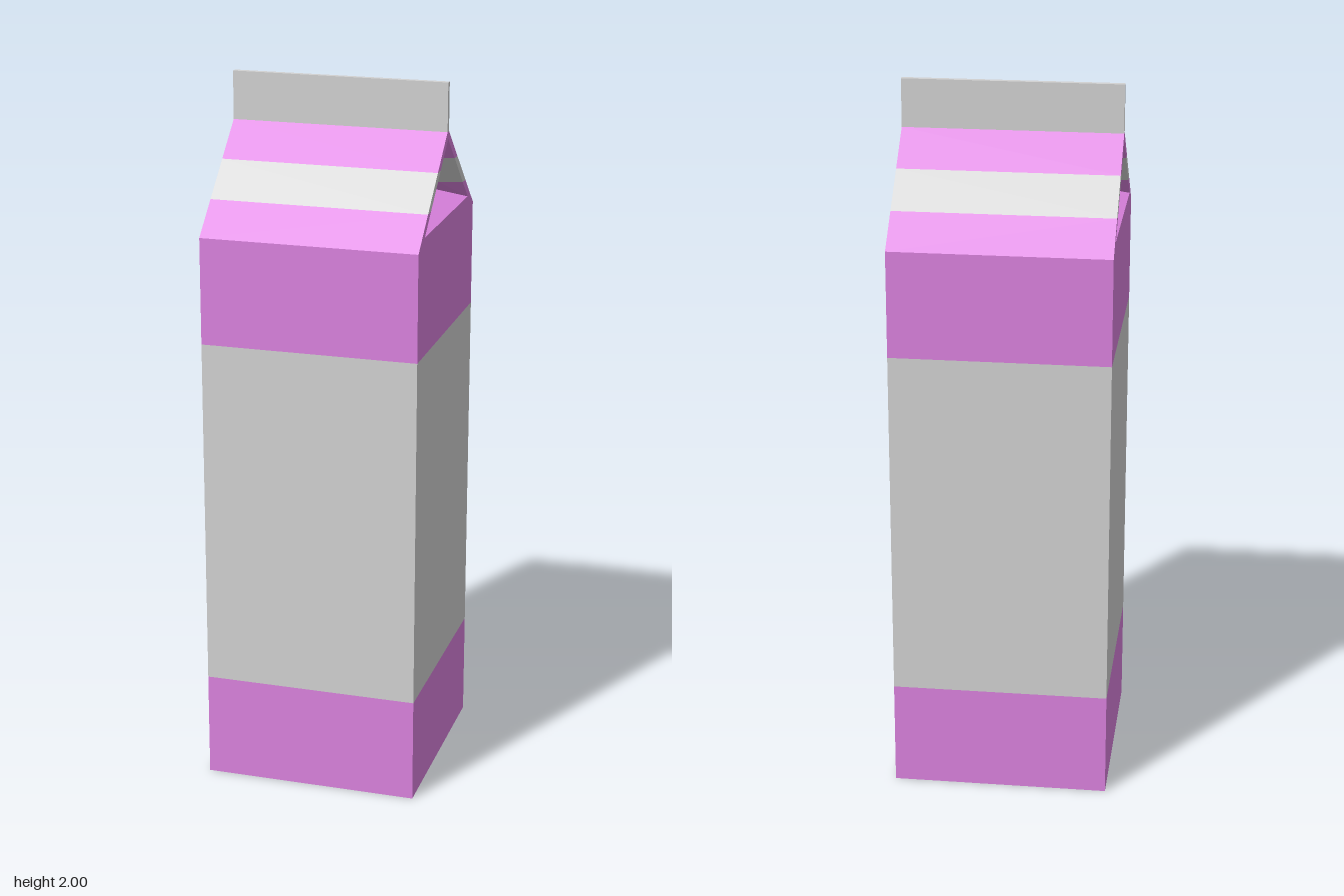
import * as THREE from 'three';

const W = 0.305;        // half width of the carton
const SHOULDER = 1.6;   // top of the upright walls
const RIDGE = 1.865;    // top of the gable
const FIN = 0.008;      // half thickness of the sealed fin

// Colour bands by height
const BANDS = [
  [0, 0.3, 'pink'], [0.3, 1.3, 'grey'], [1.3, 1.685, 'pink'],
  [1.685, 1.775, 'grey'], [1.775, RIDGE, 'pink'],
];

// Keep the part of a convex polygon where sign * (y - level) >= 0
function clip(points, level, sign) {
  const out = [];
  points.forEach((p, i) => {
    const q = points[(i + 1) % points.length];
    const dp = sign * (p.y - level), dq = sign * (q.y - level);
    if (dp >= 0) out.push(p);
    if (dp * dq < 0) out.push(p.clone().lerp(q, dp / (dp - dq)));
  });
  return out;
}

// Flat convex polygon, wound so that it faces along "facing"
function polygon(points, facing) {
  const normal = new THREE.Vector3();
  points.forEach((p, i) => normal.add(p.clone().cross(points[(i + 1) % points.length])));
  const pts = normal.dot(facing) < 0 ? [...points].reverse() : points;
  const tris = [];
  for (let i = 1; i < pts.length - 1; i++) tris.push(pts[0], pts[i], pts[i + 1]);
  const geometry = new THREE.BufferGeometry().setFromPoints(tris);
  geometry.computeVertexNormals();
  return geometry;
}

export function createModel() {
  const model = new THREE.Group();
  model.name = 'carton';
  const materials = {
    pink: new THREE.MeshStandardMaterial({ color: 0xdb82df }),
    grey: new THREE.MeshStandardMaterial({ color: 0xd2d2d2 }),
  };
  for (const key in materials) materials[key].name = key;

  const add = (name, geometry, colour) => {
    const mesh = new THREE.Mesh(geometry, materials[colour]);
    mesh.name = name;
    model.add(mesh);
    return mesh;
  };

  // A panel cut into the printed bands, or in one colour if given
  function panel(name, corners, direction, colour) {
    const points = corners.map((c) => new THREE.Vector3(...c));
    const facing = new THREE.Vector3(...direction);
    if (colour) return add(name, polygon(points, facing), colour);
    for (const [low, high, band] of BANDS) {
      const piece = clip(clip(points, low, 1), high, -1);
      const ys = piece.map((p) => p.y);
      if (piece.length > 2 && Math.max(...ys) - Math.min(...ys) > 1e-5) {
        add(name, polygon(piece, facing), band);
      }
    }
  }

  panel('base', [[-W, 0, -W], [W, 0, -W], [W, 0, W], [-W, 0, W]], [0, -1, 0], 'pink');

  for (const s of [1, -1]) {
    // Front and back: upright wall and sloping roof
    panel('wall', [[-W, 0, s * W], [W, 0, s * W], [W, SHOULDER, s * W], [-W, SHOULDER, s * W]], [0, 0, s]);
    panel('roof', [[-W, SHOULDER, s * W], [W, SHOULDER, s * W], [W, RIDGE, s * FIN], [-W, RIDGE, s * FIN]], [0, 1, s]);

    // Sides: upright wall and gable frame around the folded pocket
    const x = s * W, inner = s * (W - 0.2);
    panel('sideWall', [[x, 0, -W], [x, 0, W], [x, SHOULDER, W], [x, SHOULDER, -W]], [s, 0, 0]);
    panel('gableSill', [[x, SHOULDER, -W], [x, SHOULDER, W], [x, 1.63, 0.24], [x, 1.63, -0.24]], [s, 0, 0]);
    panel('pocketFloor', [[x, 1.63, -0.24], [x, 1.63, 0.24], [inner, 1.68, 0.17], [inner, 1.68, -0.17]], [s, 4, 0], 'pink');
    panel('pocketBack', [[inner, 1.68, -0.17], [inner, 1.68, 0.17], [inner, 1.8, 0]], [s, 0, 0], 'pink');
    for (const t of [1, -1]) {
      const low = [x, 1.63, t * 0.24], top = [x, 1.845, 0];
      const backLow = [inner, 1.68, t * 0.17], backTop = [inner, 1.8, 0];
      panel('gableFrame', [[x, SHOULDER, t * W], [x, RIDGE, t * FIN], [x, RIDGE, 0], top, low], [s, 0, 0]);
      // Underside of the roof inside the pocket
      panel('pocketRoof', [low, top, backTop], [0, -1, -t]);
      panel('pocketRoof', [low, backLow, backTop], [0, -1, -t]);
    }
  }

  // Sealed fin on the ridge
  const fin = add('topFin', new THREE.BoxGeometry(2 * W, 2 - RIDGE, 2 * FIN), 'grey');
  fin.position.y = (2 + RIDGE) / 2;

  return model;
}
